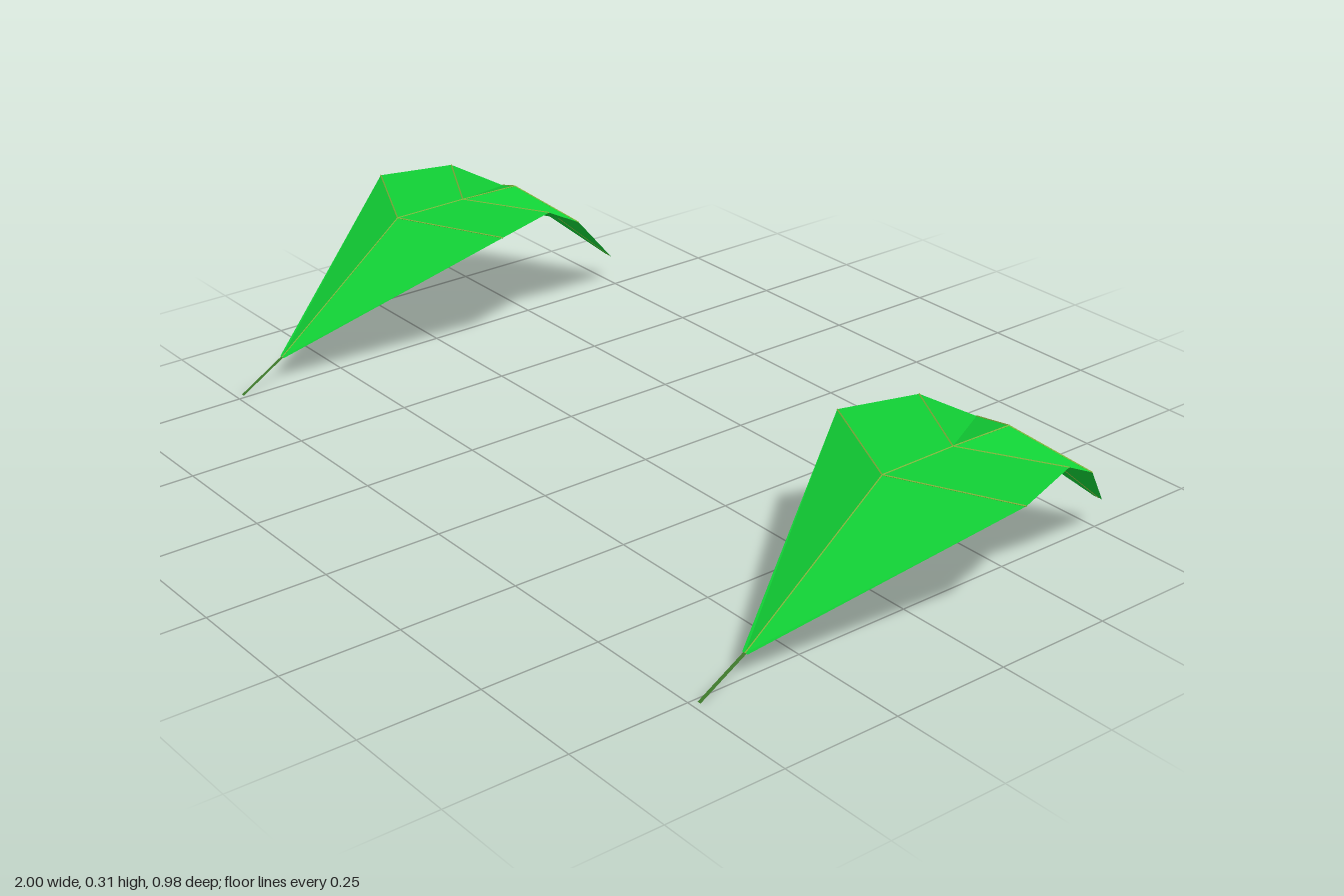
import * as THREE from 'three';

// Cross-rows from stem to tip: half width, edge y/z, midrib y/z
const ROWS = [
  [0.007, 0.06, 0.385, 0.06, 0.385],
  [0.237, 0.305, -0.03, 0.303, 0.08],
  [0.187, 0.308, -0.187, 0.305, -0.09],
  [0.145, 0.245, -0.298, 0.303, -0.23],
  [0.01, 0.07, -0.49, 0.07, -0.492],
];

const material = (color) => new THREE.MeshStandardMaterial({
  color, flatShading: true, side: THREE.DoubleSide,
});

const edge = (i, side) => [side * ROWS[i][0], ROWS[i][1], ROWS[i][2]];
const mid = (i) => [0, ROWS[i][3], ROWS[i][4]];

function surface(points) {
  const geometry = new THREE.BufferGeometry();
  geometry.setAttribute('position', new THREE.Float32BufferAttribute(points.flat(), 3));
  geometry.computeVertexNormals();
  return geometry;
}

// Folded blade: two facets per row on each side of the midrib
function bladeGeometry() {
  const points = [];
  for (const side of [1, -1]) {
    for (let i = 0; i < ROWS.length - 1; i++) {
      const tris = [
        [mid(i), edge(i, side), edge(i + 1, side)],
        [mid(i), edge(i + 1, side), mid(i + 1)],
      ];
      for (const [a, b, c] of tris) points.push(...(side > 0 ? [a, b, c] : [a, c, b]));
    }
  }
  return surface(points);
}

// Hair-thin rib along one crease
function vein(from, to, mat) {
  const line = new THREE.LineCurve3(new THREE.Vector3(...from), new THREE.Vector3(...to));
  const mesh = new THREE.Mesh(new THREE.TubeGeometry(line, 1, 0.0015, 4), mat);
  mesh.name = 'vein';
  return mesh;
}

function createLeaf(name, x) {
  const leaf = new THREE.Group();
  leaf.name = name;
  leaf.position.x = x;

  const blade = new THREE.Mesh(bladeGeometry(), material(0x11d035));
  blade.name = 'blade';
  leaf.add(blade);

  // Flat, narrow stem
  const w = 0.004;
  const a = [-w, 0.06, 0.385], b = [w, 0.06, 0.385], c = [w, 0, 0.485], d = [-w, 0, 0.485];
  const stem = new THREE.Mesh(surface([a, d, c, a, c, b]), material(0x3f7a2c));
  stem.name = 'stem';
  leaf.add(stem);

  // Midrib and side veins along the folds
  const veins = new THREE.Group();
  veins.name = 'veins';
  const veinMaterial = material(0x7fb03c);
  for (let i = 0; i < ROWS.length - 1; i++) {
    veins.add(vein(mid(i), mid(i + 1), veinMaterial));
    if (i > 0) for (const side of [1, -1]) veins.add(vein(mid(i), edge(i, side), veinMaterial));
  }
  leaf.add(veins);
  return leaf;
}

export function createModel() {
  const model = new THREE.Group();
  model.name = 'leafPair';
  model.add(createLeaf('leftLeaf', 0.762), createLeaf('rightLeaf', -0.762));
  return model;
}
